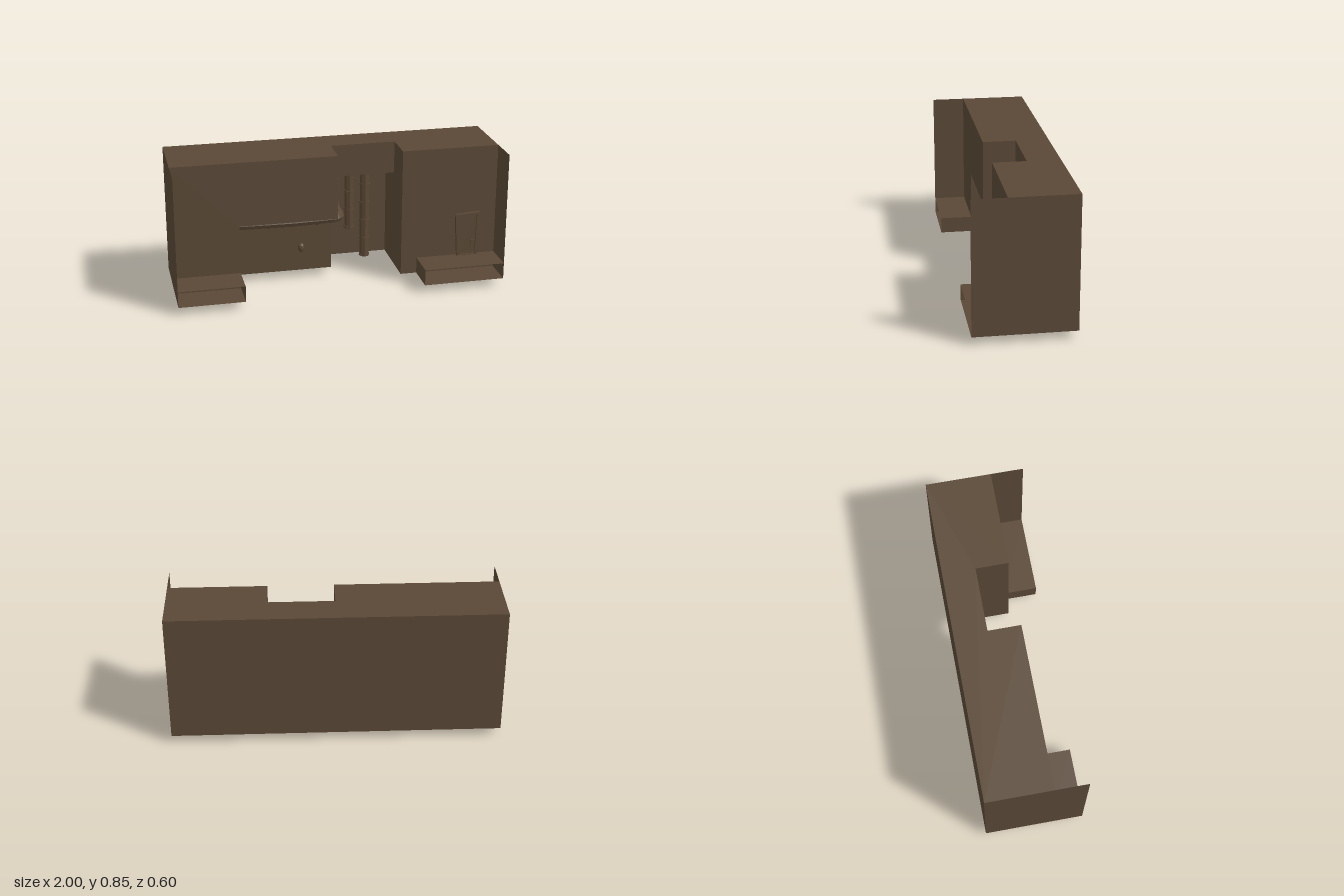
import * as THREE from 'three';

const brown = new THREE.MeshStandardMaterial({ color: 0x5a4836, side: THREE.DoubleSide, flatShading: true });
brown.name = 'earthBrown';

export function createModel() {
  const model = new THREE.Group();
  model.name = 'wallBlock';

  const add = (name, geometry, x = 0, y = 0, z = 0, parent = model) => {
    const mesh = new THREE.Mesh(geometry, brown);
    mesh.name = name;
    mesh.position.set(x, y, z);
    parent.add(mesh);
    return mesh;
  };

  const shapeOf = (pts) => new THREE.Shape(pts.map((p) => new THREE.Vector2(...p)));
  const rect = (a0, b0, a1, b1) => [[a0, b0], [a1, b0], [a1, b1], [a0, b1]];

  // Flat wall across an axis: points are (z,y) for x, (x,z) for y, (x,y) for z
  const wall = (name, axis, at, pts) => {
    const geo = new THREE.ShapeGeometry(shapeOf(pts));
    const pos = geo.attributes.position;
    for (let i = 0; i < pos.count; i++) {
      const u = pos.getX(i), v = pos.getY(i);
      if (axis === 'x') pos.setXYZ(i, at, v, u);
      else if (axis === 'y') pos.setXYZ(i, u, at, v);
      else pos.setXYZ(i, u, v, at);
    }
    geo.computeVertexNormals();
    return add(name, geo);
  };

  // Outer shell, the side walls running forward as wings
  wall('backWall', 'z', -0.3, rect(-1, 0.05, 1, 0.85));
  for (const s of [-1, 1]) wall(s > 0 ? 'leftWall' : 'rightWall', 'x', s, rect(-0.3, 0.05, 0.3, 0.85));
  wall('roof', 'y', 0.85, [[-1, -0.3], [1, -0.3], [1, 0.1], [0.4, 0.1], [0.4, -0.1], [0, -0.1], [0, 0.1], [-1, 0.1]]);
  wall('rightFloor', 'y', 0.05, [[-1, -0.3], [0, -0.3], [0, -0.1], [-0.6, -0.1], [-0.6, 0.3], [-1, 0.3]]);
  wall('leftFloor', 'y', 0.05, [[0.4, -0.3], [1, -0.3], [1, 0.3], [0.5, 0.3], [0.5, 0.1], [0.4, 0.1]]);
  wall('rightFront', 'z', 0.1, [[-1, 0.05], [-0.6, 0.05], [-0.6, 0.45], [0, 0.45], [0, 0.85], [-1, 0.85]]);
  wall('leftFront', 'z', 0.1, rect(0.4, 0.05, 1, 0.85));

  // Low recess under the overhang
  wall('recessBack', 'z', -0.1, rect(-0.6, 0.05, 0, 0.45));
  wall('recessCeiling', 'y', 0.45, rect(-0.6, -0.1, 0, 0.1));
  wall('recessSide', 'x', -0.6, [[-0.1, 0.05], [0.3, 0.05], [0.3, 0.15], [0.1, 0.15], [0.1, 0.45], [-0.1, 0.45]]);

  // Tall niche with a header
  wall('nicheRightSide', 'x', 0, [[-0.3, 0.05], [-0.1, 0.05], [-0.1, 0.45], [0.1, 0.45], [0.1, 0.85],
    [-0.1, 0.85], [-0.1, 0.65], [-0.3, 0.65]]);
  wall('nicheLeftSide', 'x', 0.4, [[-0.3, 0.05], [0.1, 0.05], [0.1, 0.85], [-0.1, 0.85], [-0.1, 0.65], [-0.3, 0.65]]);
  wall('headerFront', 'z', -0.1, rect(0, 0.65, 0.4, 0.85));
  wall('headerUnderside', 'y', 0.65, rect(0, -0.3, 0.4, -0.1));

  // Low shelves, open at the front
  wall('rightShelf', 'y', 0.15, rect(-1, 0.1, -0.6, 0.3));
  wall('leftShelf', 'y', 0.15, rect(0.5, 0.1, 1, 0.3));
  wall('leftShelfSide', 'x', 0.5, rect(0.1, 0.05, 0.3, 0.15));

  // Wavy strip on the back
  wall('backStrip', 'z', -0.302, [[0.75, 0.35], [0.68, 0.345], [0.6, 0.357], [0.5, 0.347],
    [0.5, 0.297], [0.6, 0.312], [0.68, 0.295], [0.75, 0.3]]);

  // Bent pipe: along the recess, back into the niche, then up
  const V = (x, y, z) => new THREE.Vector3(x, y, z);
  const path = new THREE.CurvePath();
  const line = (a, b) => path.add(new THREE.LineCurve3(a, b));
  const bend = (a, b, c) => path.add(new THREE.QuadraticBezierCurve3(a, b, c));
  line(V(-0.6, 0.4, -0.05), V(-0.25, 0.395, -0.05));
  line(V(-0.25, 0.395, -0.05), V(-0.01, 0.4, -0.05));
  bend(V(-0.01, 0.4, -0.05), V(0.05, 0.4, -0.05), V(0.05, 0.4, -0.11));
  line(V(0.05, 0.4, -0.11), V(0.05, 0.4, -0.19));
  bend(V(0.05, 0.4, -0.19), V(0.05, 0.4, -0.25), V(0.05, 0.46, -0.25));
  line(V(0.05, 0.46, -0.25), V(0.05, 0.65, -0.25));
  add('bentPipe', new THREE.TubeGeometry(path, 64, 0.032, 8));
  for (const x of [-0.4, -0.25, -0.1]) {
    const ring = add('pipeCollar', new THREE.CylinderGeometry(0.036, 0.036, 0.012, 8), x, 0.398, -0.05);
    ring.rotation.z = Math.PI / 2;
  }

  // Straight pipes in the niche
  const collar = (x, y) => add('pipeCollar', new THREE.CylinderGeometry(0.034, 0.034, 0.012, 8), x, y, -0.25);
  for (const [x, bottom] of [[0.15, 0.25], [0.25, 0.05]]) {
    add('straightPipe', new THREE.CylinderGeometry(0.03, 0.03, 0.65 - bottom, 8), x, (0.65 + bottom) / 2, -0.25);
    for (let y = bottom + 0.006; y < 0.64; y += 0.12) collar(x, y);
  }
  collar(0.05, 0.58);

  // Drain stub under the floor
  add('drainStub', new THREE.CylinderGeometry(0.034, 0.034, 0.05, 8), 0.85, 0.025, -0.05);
  add('drainFlange', new THREE.CylinderGeometry(0.039, 0.039, 0.005, 8), 0.85, 0.0025, -0.05);

  // Small oval knob on the recess wall
  add('knob', new THREE.SphereGeometry(0.02, 8, 6), -0.19, 0.2, -0.1).scale.set(1, 1.5, 1);

  // Crooked little door with frame and handle
  const door = new THREE.Group();
  door.name = 'door';
  model.add(door);
  const frame = shapeOf([[0.755, 0.15], [0.882, 0.15], [0.895, 0.43], [0.738, 0.42]]);
  const opening = [[0.769, 0.155], [0.869, 0.155], [0.878, 0.412], [0.757, 0.405]];
  frame.holes.push(new THREE.Path(opening.map((p) => new THREE.Vector2(...p))));
  add('doorFrame', new THREE.ExtrudeGeometry(frame, { depth: 0.02, bevelEnabled: false }), 0, 0, 0.1, door);
  add('doorPanel', new THREE.ExtrudeGeometry(shapeOf(opening), { depth: 0.01, bevelEnabled: false }), 0, 0, 0.1, door);
  add('doorHandle', new THREE.BoxGeometry(0.018, 0.035, 0.01), 0.853, 0.23, 0.114, door);

  return model;
}
